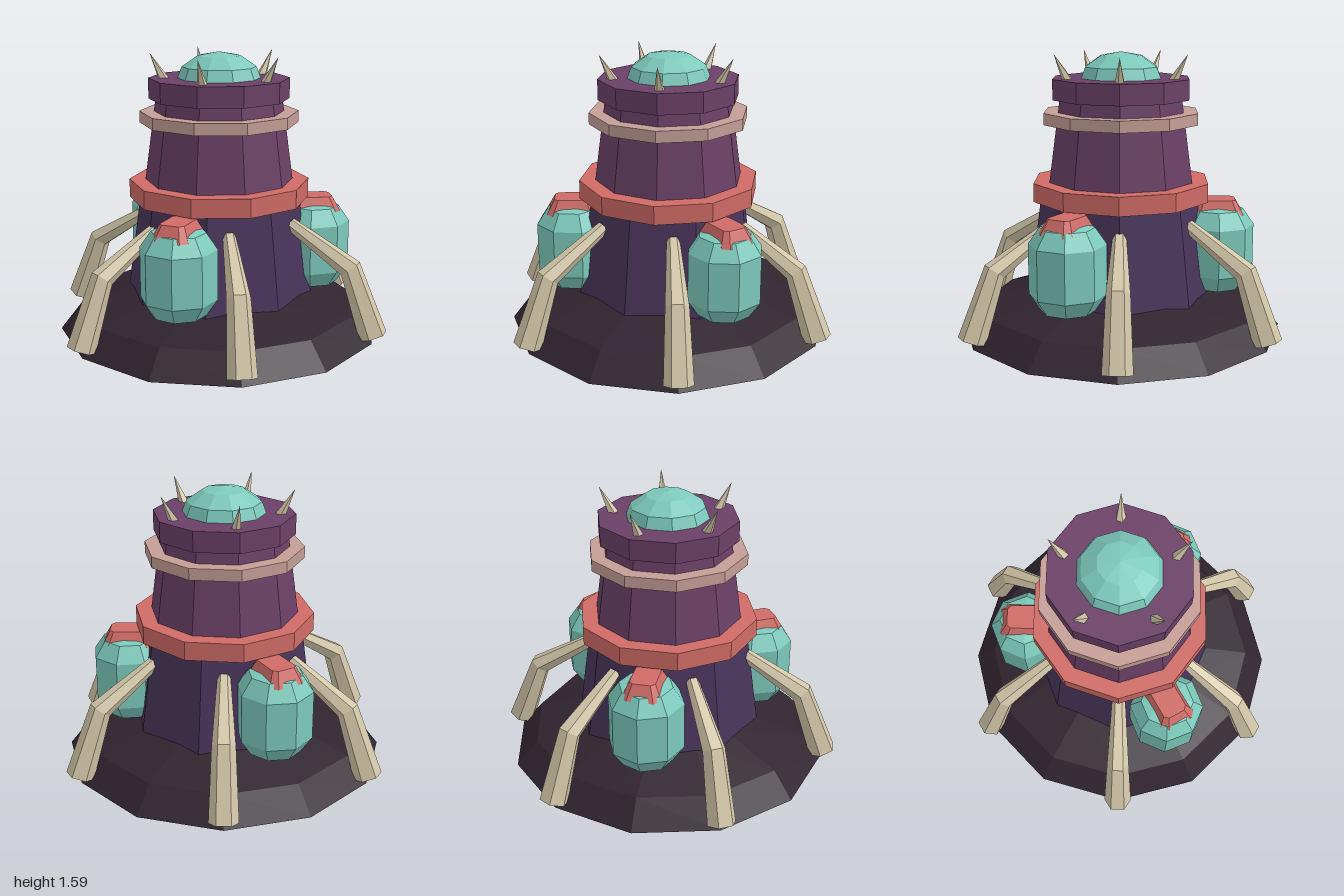
import * as THREE from 'three';

const mat = (name, color) => {
  const m = new THREE.MeshStandardMaterial({ color, flatShading: true });
  m.name = name;
  return m;
};

// Skin a list of equal-length rings (counter-clockwise seen from the last ring) with flat end caps
function loft(rings) {
  const pos = [];
  const tri = (...pts) => pts.forEach((p) => pos.push(p.x, p.y, p.z));
  const n = rings[0].length;
  for (let i = 0; i < rings.length - 1; i++) {
    for (let j = 0; j < n; j++) {
      const k = (j + 1) % n;
      const [a, b, c, d] = [rings[i][j], rings[i][k], rings[i + 1][k], rings[i + 1][j]];
      tri(a, b, c);
      tri(a, c, d);
    }
  }
  const first = rings[0], last = rings[rings.length - 1];
  for (let j = 1; j < n - 1; j++) {
    tri(first[0], first[j + 1], first[j]);
    tri(last[0], last[j], last[j + 1]);
  }
  const g = new THREE.BufferGeometry();
  g.setAttribute('position', new THREE.Float32BufferAttribute(pos, 3));
  g.computeVertexNormals();
  return g;
}

// Bent leg in the x-y plane, reaching outward along +x
function legGeometry() {
  const joints = [
    { x: 0.43, y: 0.645, r: 0.036, tilt: -0.6 },
    { x: 0.785, y: 0.425, r: 0.063, tilt: -0.9 },
    { x: 0.925, y: 0.05, r: 0.08, tilt: -1.22 },
  ];
  const rings = joints.map(({ x, y, r, tilt }) => {
    const ring = [];
    for (let i = 0; i < 6; i++) {
      const a = (i / 6) * Math.PI * 2;
      const up = Math.sin(a) * r, side = Math.cos(a) * r;
      ring.push(new THREE.Vector3(x - Math.sin(tilt) * up, y + Math.cos(tilt) * up, -side));
    }
    return ring;
  });
  return loft(rings);
}

// Chamfered block that narrows toward its top; long axis is x
function clampGeometry() {
  const ring = (y, l, w, c) => [
    [l, w - c], [l - c, w], [-l + c, w], [-l, w - c],
    [-l, -w + c], [-l + c, -w], [l - c, -w], [l, -w + c],
  ].map(([x, z]) => new THREE.Vector3(x, y, -z));
  return loft([ring(0.67, 0.145, 0.108, 0.035), ring(0.752, 0.1, 0.07, 0.022)]);
}

export function createModel() {
  const group = new THREE.Group();
  const soil = mat('dark soil', 0x30242f);
  const plum = mat('deep plum', 0x49345b);
  const purple = mat('purple', 0x6b4067);
  const coral = mat('coral', 0xcf6b66);
  const pink = mat('dusty pink', 0xc49e96);
  const teal = mat('teal', 0x7dcabc);
  const bone = mat('bone', 0xd2c6a8);

  const add = (name, geometry, material, parent = group) => {
    const m = new THREE.Mesh(geometry, material);
    m.name = name;
    parent.add(m);
    return m;
  };
  const drum = (name, rTop, rBottom, y0, y1, sides, material) => {
    const m = add(name, new THREE.CylinderGeometry(rTop, rBottom, y1 - y0, sides), material);
    m.position.y = (y0 + y1) / 2;
    if (sides === 10) m.rotation.y = Math.PI / 10; // corners on the x axis
    return m;
  };

  // Ground mound with its underside
  const mound = add('mound', new THREE.SphereGeometry(1, 12, 3, 0, Math.PI * 2, 0, Math.PI / 2), soil);
  mound.scale.set(0.92, 0.28, 0.92);
  const underside = add('moundUnderside', new THREE.CircleGeometry(0.92, 12), soil);
  underside.rotation.x = Math.PI / 2;

  // Tower and its bands
  drum('lowerTower', 0.45, 0.562, 0.02, 0.82, 8, plum);
  drum('upperTower', 0.352, 0.425, 0.82, 1.35, 10, purple);
  drum('coralRing', 0.51, 0.51, 0.76, 0.865, 10, coral);
  drum('pinkBand', 0.447, 0.447, 1.19, 1.255, 10, pink);
  drum('towerRim', 0.395, 0.395, 1.325, 1.44, 10, purple);

  // Dome on top
  const dome = add('dome', new THREE.SphereGeometry(1, 10, 3, 0, Math.PI * 2, 0, Math.PI / 2), teal);
  dome.scale.set(0.24, 0.165, 0.24);
  dome.position.y = 1.42;

  // Crown of outward-leaning spikes
  const spikeGeo = new THREE.ConeGeometry(0.032, 0.18, 5);
  for (let i = 0; i < 5; i++) {
    const arm = new THREE.Group();
    arm.name = 'spikeArm';
    arm.rotation.y = (i / 5) * Math.PI * 2;
    const spike = add('spike', spikeGeo, bone, arm);
    spike.position.set(0.343, 1.498, 0);
    spike.rotation.z = -0.48;
    group.add(arm);
  }

  // Six legs
  const legGeo = legGeometry();
  for (let i = 0; i < 6; i++) {
    add('leg', legGeo, bone).rotation.y = (i / 6) * Math.PI * 2;
  }

  // Three pods, each held by a clamp
  const podProfile = [
    [0, 0.2], [0.148, 0.238], [0.21, 0.33], [0.21, 0.605], [0.148, 0.695], [0, 0.73],
  ].map(([x, y]) => new THREE.Vector2(x, y));
  const podGeo = new THREE.LatheGeometry(podProfile, 8);
  const clampGeo = clampGeometry();
  for (const deg of [-30, 90, 210]) {
    const a = THREE.MathUtils.degToRad(deg);
    const x = Math.cos(a) * 0.55, z = -Math.sin(a) * 0.55;
    add('pod', podGeo, teal).position.set(x, 0, z);
    const clamp = add('podClamp', clampGeo, coral);
    clamp.position.set(x, 0, z);
    clamp.rotation.y = a;
  }

  return group;
}
